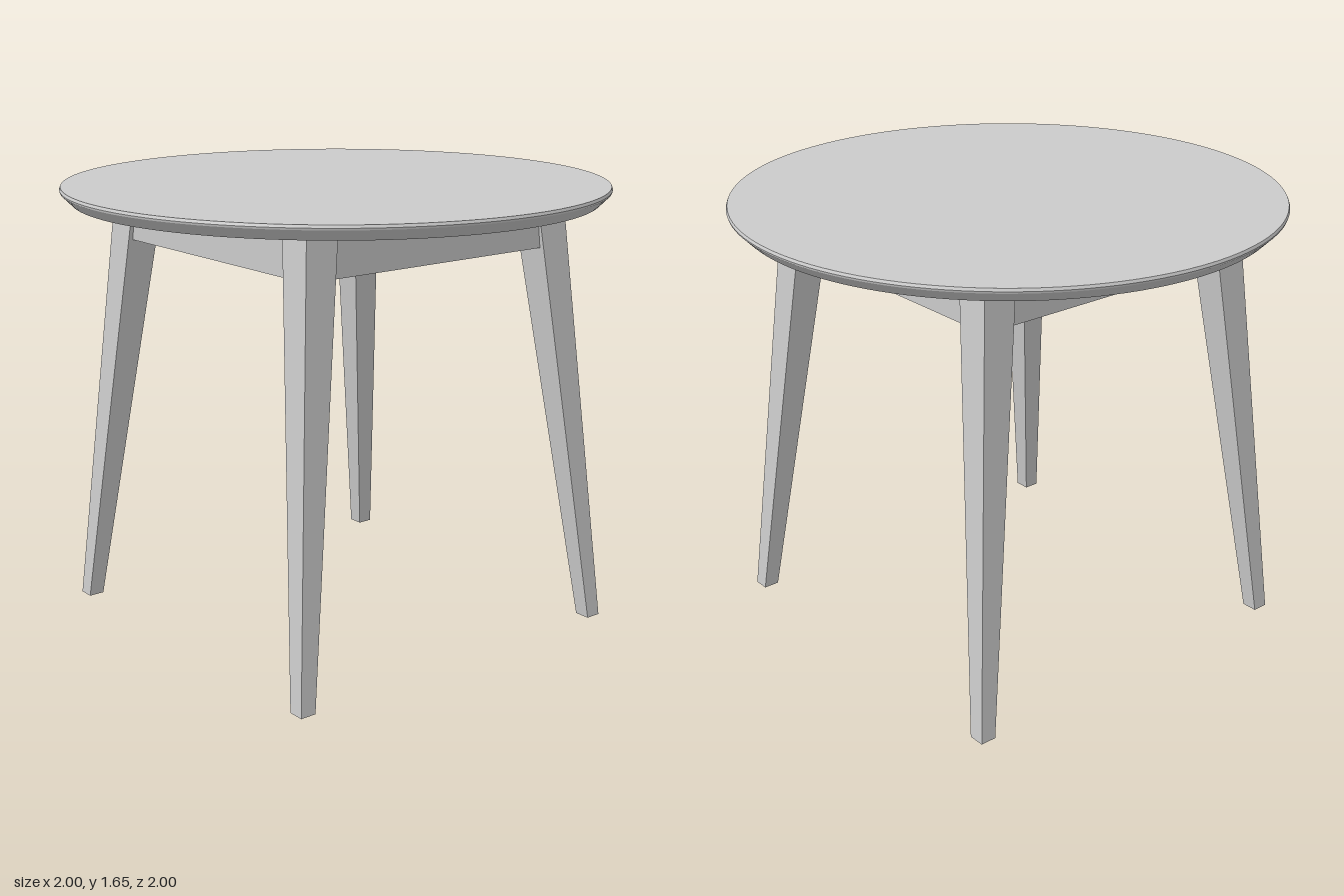
import * as THREE from 'three';
import { toCreasedNormals } from 'three/addons/utils/BufferGeometryUtils.js';

const material = new THREE.MeshStandardMaterial({ color: 0xcccccc });
const UNDERSIDE = 1.6;

function addMesh(parent, name, geometry) {
  const mesh = new THREE.Mesh(geometry, material);
  mesh.name = name;
  parent.add(mesh);
  return mesh;
}

// Square leg, splayed outward and tapering toward the foot
function legGeometry(sx, sz) {
  const geo = new THREE.BoxGeometry(1, 1, 1);
  const pos = geo.attributes.position;
  for (let i = 0; i < pos.count; i++) {
    const top = pos.getY(i) > 0;
    const centre = top ? 0.52 : 0.69;
    const width = top ? 0.13 : 0.06;
    pos.setXYZ(i,
      sx * centre + pos.getX(i) * width,
      top ? UNDERSIDE : 0,
      sz * centre + pos.getZ(i) * width);
  }
  geo.computeVertexNormals();
  return geo;
}

export function createModel() {
  const table = new THREE.Group();
  table.name = 'roundTable';

  // Round top with an undercut bevel and a slightly eased upper edge
  const profile = [[0, 1.6], [0.96, 1.6], [0.998, 1.638], [1, 1.645], [0.996, 1.655], [0, 1.655]]
    .map(([r, y]) => new THREE.Vector2(r, y));
  addMesh(table, 'tableTop', toCreasedNormals(new THREE.LatheGeometry(profile, 128), 0.5));

  // Four splayed legs
  for (const [sx, side] of [[1, 'Left'], [-1, 'Right']]) {
    for (const [sz, end] of [[1, 'front'], [-1, 'back']]) {
      addMesh(table, `${end}${side}Leg`, legGeometry(sx, sz));
    }
  }

  // Four apron rails, their ends set into the legs
  const height = 0.165, thickness = 0.085;
  ['front', 'left', 'back', 'right'].forEach((name, i) => {
    const geo = new THREE.BoxGeometry(1, height, thickness);
    geo.translate(0, UNDERSIDE - height / 2, 0.538);
    addMesh(table, `${name}Apron`, geo).rotation.y = i * Math.PI / 2;
  });

  return table;
}
